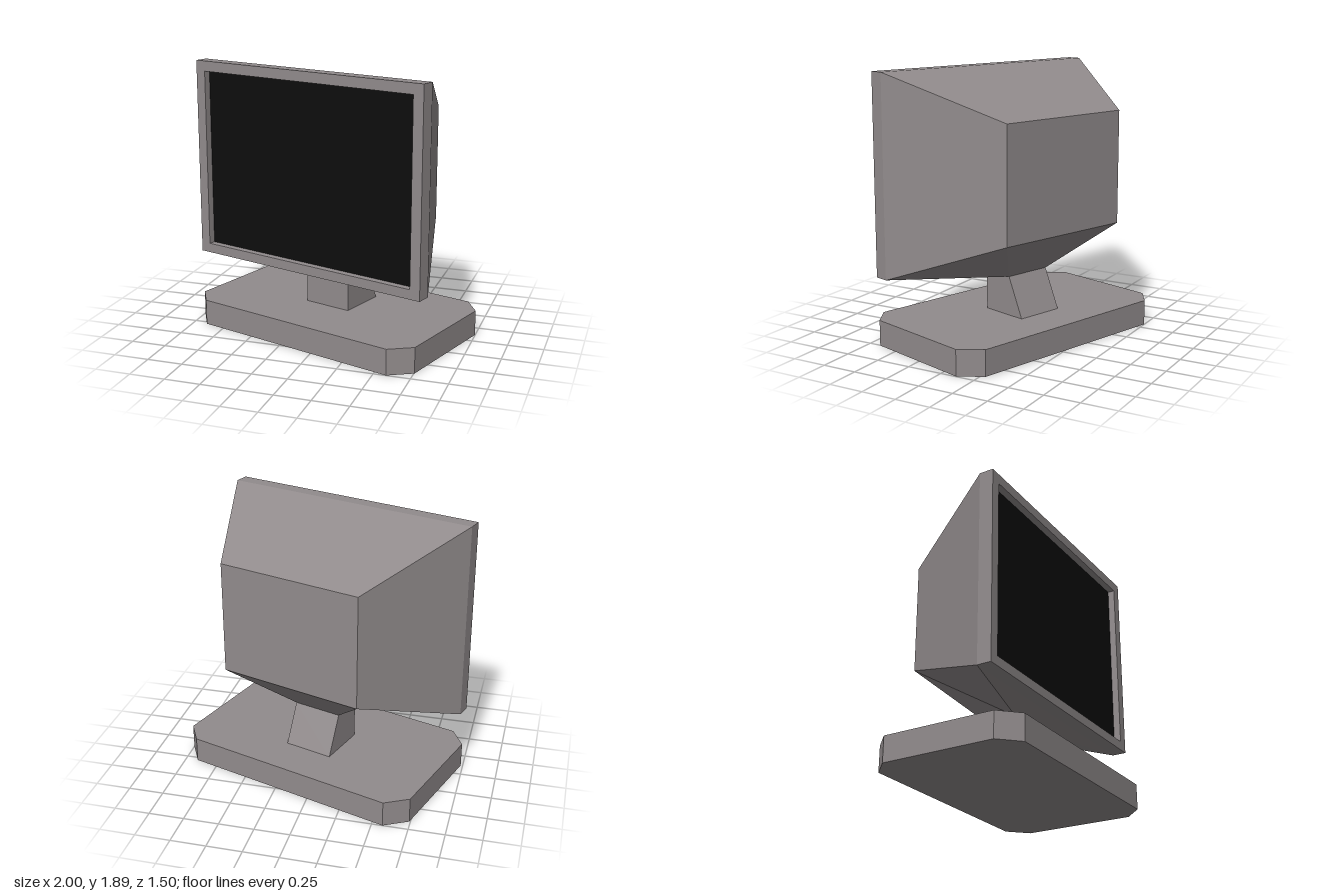
import * as THREE from 'three';

// Four-sided surface through a list of rings; skip(section, side) leaves quads out
function skin(rings, skip = () => false) {
  const p = [];
  for (let r = 0; r < rings.length - 1; r++) {
    for (let i = 0; i < 4; i++) {
      if (skip(r, i)) continue;
      const j = (i + 1) % 4;
      const [a, b, c, d] = [rings[r][i], rings[r + 1][i], rings[r + 1][j], rings[r][j]];
      p.push(...a, ...b, ...c, ...a, ...c, ...d);
    }
  }
  const g = new THREE.BufferGeometry();
  g.setAttribute('position', new THREE.Float32BufferAttribute(p, 3));
  g.computeVertexNormals();
  return g;
}

// Upright rectangle ring: bottom left, bottom right, top right, top left
const upright = (w, y0, y1, z) => [[-w, y0, z], [w, y0, z], [w, y1, z], [-w, y1, z]];
// Level rectangle ring
const level = (w, y, front, back) => [[w, y, front], [w, y, back], [-w, y, back], [-w, y, front]];

export function createModel() {
  const plastic = new THREE.MeshStandardMaterial({ color: 0x918b8c });
  plastic.name = 'grey plastic';
  const glass = new THREE.MeshStandardMaterial({ color: 0x0d0d0d });
  glass.name = 'black screen';

  const group = new THREE.Group();
  group.name = 'monitor';
  const add = (name, geometry, material) => {
    const mesh = new THREE.Mesh(geometry, material);
    mesh.name = name;
    group.add(mesh);
    return mesh;
  };

  // Base: slab with cut corners
  const w = 0.912, d = 0.541, c = 0.134;
  const outline = new THREE.Shape([
    [w - c, -d], [w, c - d], [w, d - c], [w - c, d],
    [c - w, d], [-w, d - c], [-w, c - d], [c - w, -d],
  ].map(([x, y]) => new THREE.Vector2(x, y)));
  const slab = new THREE.ExtrudeGeometry(outline, { depth: 0.182, bevelEnabled: false });
  add('base', slab.rotateX(-Math.PI / 2), plastic);

  // Neck: upright front, sloping back
  const neckTop = level(0.178, 0.46, 0.116, -0.114);
  add('neck', skin([neckTop, level(0.178, 0.18, 0.116, -0.242)]), plastic);

  // Housing: recess wall, bezel, rim, tapered shell, back panel
  const rim = upright(0.932, 0.495, 1.895, 0.295);
  const back = upright(0.53, 0.795, 1.595, -0.477);
  add('housing', skin([
    upright(0.857, 0.562, 1.823, 0.346),
    upright(0.857, 0.562, 1.823, 0.396),
    upright(0.932, 0.495, 1.895, 0.396),
    rim,
    back,
  ], (section, side) => section === 3 && side === 0), plastic);
  const panel = new THREE.PlaneGeometry(1.06, 0.8).rotateY(Math.PI);
  add('backPanel', panel, plastic).position.set(0, 1.195, -0.477);

  // Underside funnels down to the neck
  add('underside', skin([[rim[1], back[1], back[0], rim[0]], neckTop]), plastic);

  // Recessed screen
  add('screen', new THREE.PlaneGeometry(1.714, 1.261), glass).position.set(0, 1.1925, 0.346);

  // The whole monitor stands turned to its right
  group.rotation.y = -0.304;
  group.position.x = 0.006;
  const model = new THREE.Group();
  model.add(group);
  return model;
}
